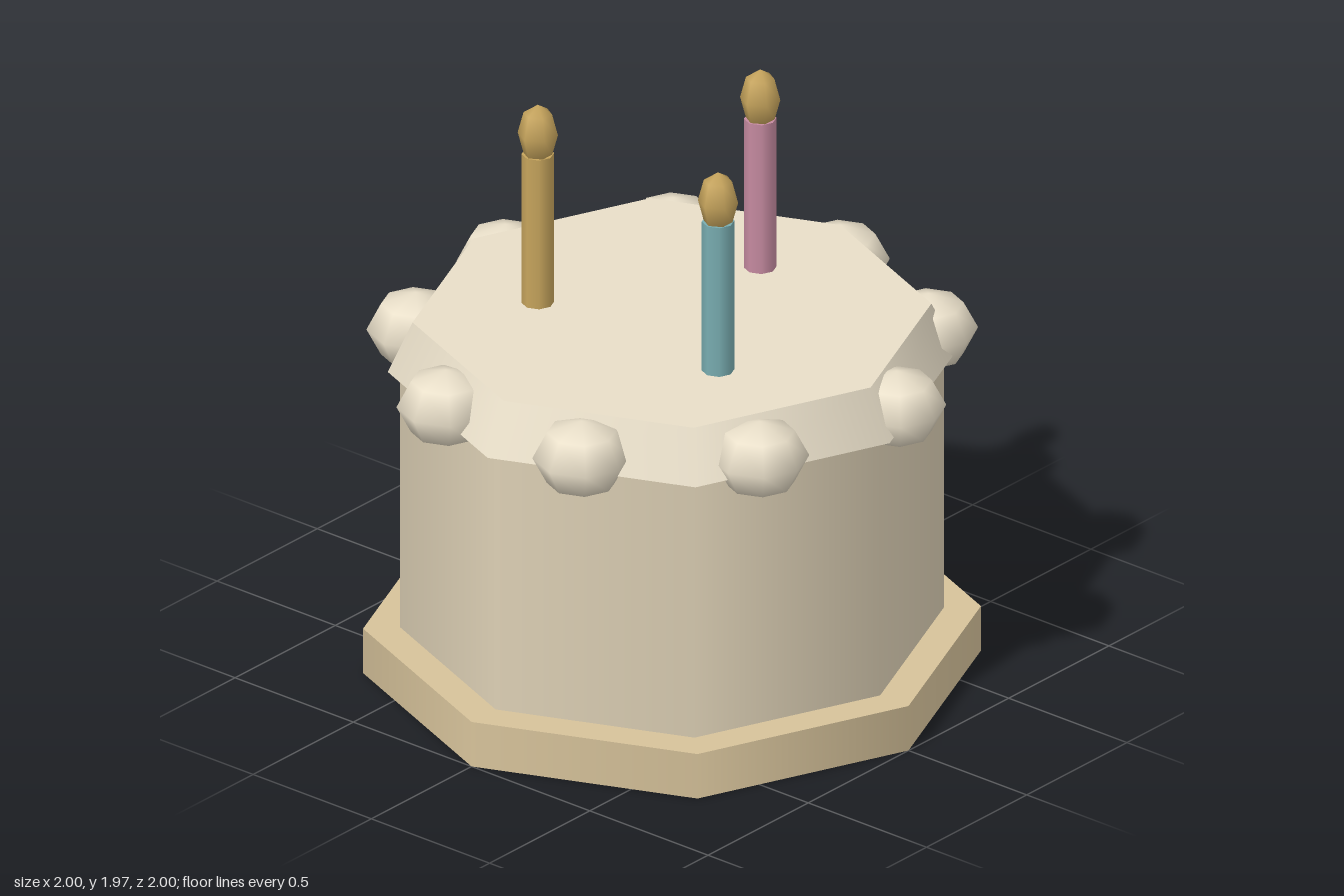
import * as THREE from 'three';

const material = (color) => new THREE.MeshStandardMaterial({ color });

export function createModel() {
  const cake = new THREE.Group();
  cake.name = 'birthdayCake';

  const add = (name, geometry, mat, x, y, z) => {
    const mesh = new THREE.Mesh(geometry, mat);
    mesh.name = name;
    mesh.position.set(x, y, z);
    cake.add(mesh);
    return mesh;
  };

  // Eight-sided tier between two heights
  const tier = (name, topRadius, bottomRadius, y0, y1, mat) =>
    add(name, new THREE.CylinderGeometry(topRadius, bottomRadius, y1 - y0, 8), mat, 0, (y0 + y1) / 2, 0);

  const cream = material(0xe8dec8);
  tier('plate', 1, 1, 0, 0.16, material(0xd6c29a));
  tier('sponge', 0.88, 0.88, 0.16, 1.12, material(0xdccfb4));
  tier('icing', 0.84, 0.92, 1.08, 1.255, cream);

  // Ring of nine cream dollops around the icing
  const dollop = new THREE.SphereGeometry(0.16, 8, 4).scale(1, 0.8, 1);
  for (let i = 0; i < 9; i++) {
    const a = (i / 9) * Math.PI * 2;
    add('creamDollop', dollop, cream, 0.84 * Math.cos(a), 1.128, 0.84 * Math.sin(a));
  }

  // Three candles with flames
  const stick = new THREE.CylinderGeometry(0.053, 0.053, 0.54, 8);
  const flame = new THREE.SphereGeometry(0.066, 6, 4).scale(1, 1.58, 1);
  const gold = material(0xc6a45c);
  [0xc58aa0, 0x78acb0, 0xc6a45c].forEach((color, i) => {
    const a = (i / 3) * Math.PI * 2;
    const x = 0.44 * Math.cos(a);
    const z = 0.44 * Math.sin(a);
    add('candle', stick, material(color), x, 1.52, z);
    add('flame', flame, gold, x, 1.861, z);
  });

  return cake;
}
